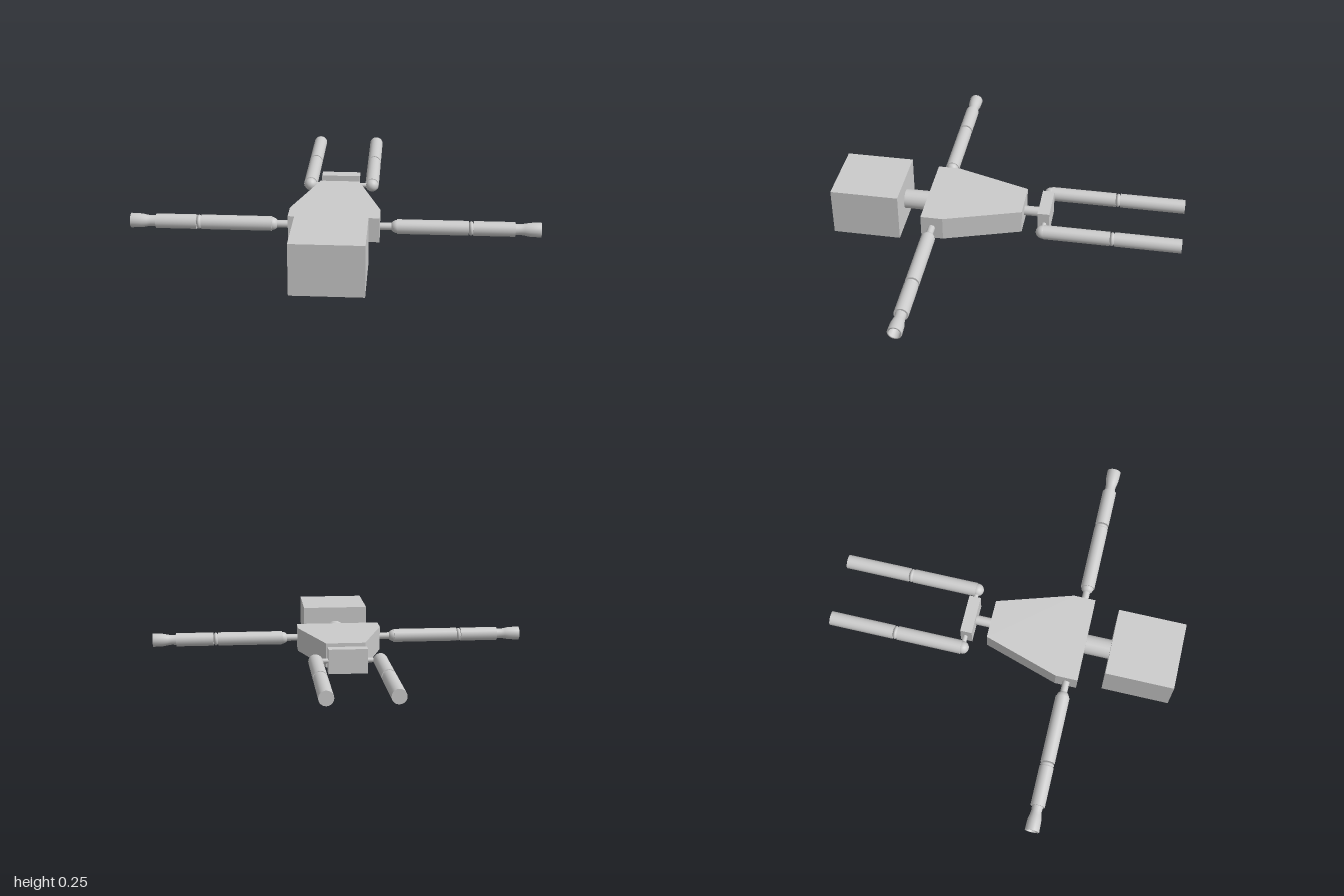
import * as THREE from 'three';

const MID = 0.127; // height of the figure's centre plane
const LIMB = 0.036; // limb radius

export function createModel() {
  const model = new THREE.Group();
  const mat = new THREE.MeshStandardMaterial({ color: 0xcccccc });
  const flat = new THREE.MeshStandardMaterial({ color: 0xcccccc, flatShading: true });
  const thin = new THREE.MeshStandardMaterial({ color: 0xcccccc, side: THREE.DoubleSide });

  const add = (parent, name, geo, pos, material = mat) => {
    const mesh = new THREE.Mesh(geo, material);
    mesh.name = name;
    mesh.position.set(...pos);
    parent.add(mesh);
    return mesh;
  };
  // Rod along local y, from y = a to y = b
  const rod = (parent, name, r, a, b) =>
    add(parent, name, new THREE.CylinderGeometry(r, r, b - a, 20), [0, (a + b) / 2, 0]);
  const ball = (parent, name, r, y, squash = 1) =>
    add(parent, name, new THREE.SphereGeometry(r, 20, 12), [0, y, 0]).scale.set(1, squash, 1);

  // Extruded outline lying flat: shape (x, y) becomes (x, z), thickness runs upwards
  const slab = (shape, y0, y1) => {
    const geo = new THREE.ExtrudeGeometry(shape, { depth: y1 - y0, bevelEnabled: false });
    geo.rotateX(-Math.PI / 2);
    return geo.translate(0, y0, 0);
  };
  const outline = (pts) => new THREE.Shape(pts.map(([x, z]) => new THREE.Vector2(x, -z)));
  const rect = (hx, z0, z1) => outline([[-hx, z1], [hx, z1], [hx, z0], [-hx, z0]]);

  // Head: block with a shallow recess underneath, inside a thin rim
  const head = new THREE.Group();
  head.name = 'head';
  model.add(head);
  add(head, 'headBlock', slab(rect(0.174, 0.545, 0.893), 0.04, 0.253), [0, 0, 0], flat);
  const rim = rect(0.174, 0.545, 0.893);
  rim.holes.push(rect(0.164, 0.555, 0.883));
  add(head, 'headRim', slab(rim, 0, 0.04), [0, 0, 0], flat);

  // Neck, torso, waist and pelvis along z
  const spine = new THREE.Group();
  spine.name = 'spine';
  spine.position.y = MID;
  spine.rotation.x = Math.PI / 2;
  model.add(spine);
  rod(spine, 'neck', 0.05, 0.41, 0.55);
  rod(spine, 'waist', 0.025, -0.165, -0.075);
  const torso = outline([
    [-0.222, 0.417], [0.222, 0.417], [0.222, 0.305],
    [0.1, -0.08], [-0.1, -0.08], [-0.222, 0.305],
  ]);
  add(model, 'torso', slab(torso, 0.065, 0.19), [0, 0, 0], flat);
  add(model, 'pelvis', new THREE.BoxGeometry(0.198, 0.125, 0.06), [0, MID, -0.19], flat);

  // Hollow flared hand: outside, lip, then inside back to the wrist
  const handProfile = [
    [0.028, 0.87], [0.026, 0.9], [0.029, 0.92], [0.034, 0.945], [0.036, 1.0],
    [0.028, 1.0], [0.026, 0.95], [0, 0.95],
  ].map(([r, y]) => new THREE.Vector2(r, y));

  // Two limb segments that meet at a flattened joint
  const segments = (limb, names, start, joint, end) => {
    rod(limb, names[0], LIMB, start, joint - 0.012);
    ball(limb, names[1], LIMB - 0.001, joint, 0.45);
    rod(limb, names[2], LIMB, joint + 0.012, end);
  };

  for (const side of [1, -1]) {
    const prefix = side > 0 ? 'left' : 'right';

    // Arm reaching straight out sideways
    const arm = new THREE.Group();
    arm.name = prefix + 'Arm';
    arm.position.set(0, MID, 0.362);
    arm.rotation.z = -side * Math.PI / 2;
    model.add(arm);
    rod(arm, 'shoulderPin', 0.018, 0.21, 0.3);
    ball(arm, 'shoulder', 0.032, 0.305);
    segments(arm, ['upperArm', 'elbow', 'forearm'], 0.305, 0.663, 0.875);
    const hand = new THREE.LatheGeometry(handProfile, 20);
    add(arm, 'hand', hand, [0, 0, 0], thin);

    // Leg stretched out to the back
    const leg = new THREE.Group();
    leg.name = prefix + 'Leg';
    leg.position.set(side * 0.163, MID, 0);
    leg.rotation.x = -Math.PI / 2;
    model.add(leg);
    ball(leg, 'hipJoint', 0.033, 0.194);
    segments(leg, ['thigh', 'knee', 'shin'], 0.2, 0.547, 0.893);
    const pin = add(model, prefix + 'HipPin',
      new THREE.CylinderGeometry(0.012, 0.012, 0.07, 16), [side * 0.125, MID, -0.194]);
    pin.rotation.z = Math.PI / 2;
  }
  return model;
}
